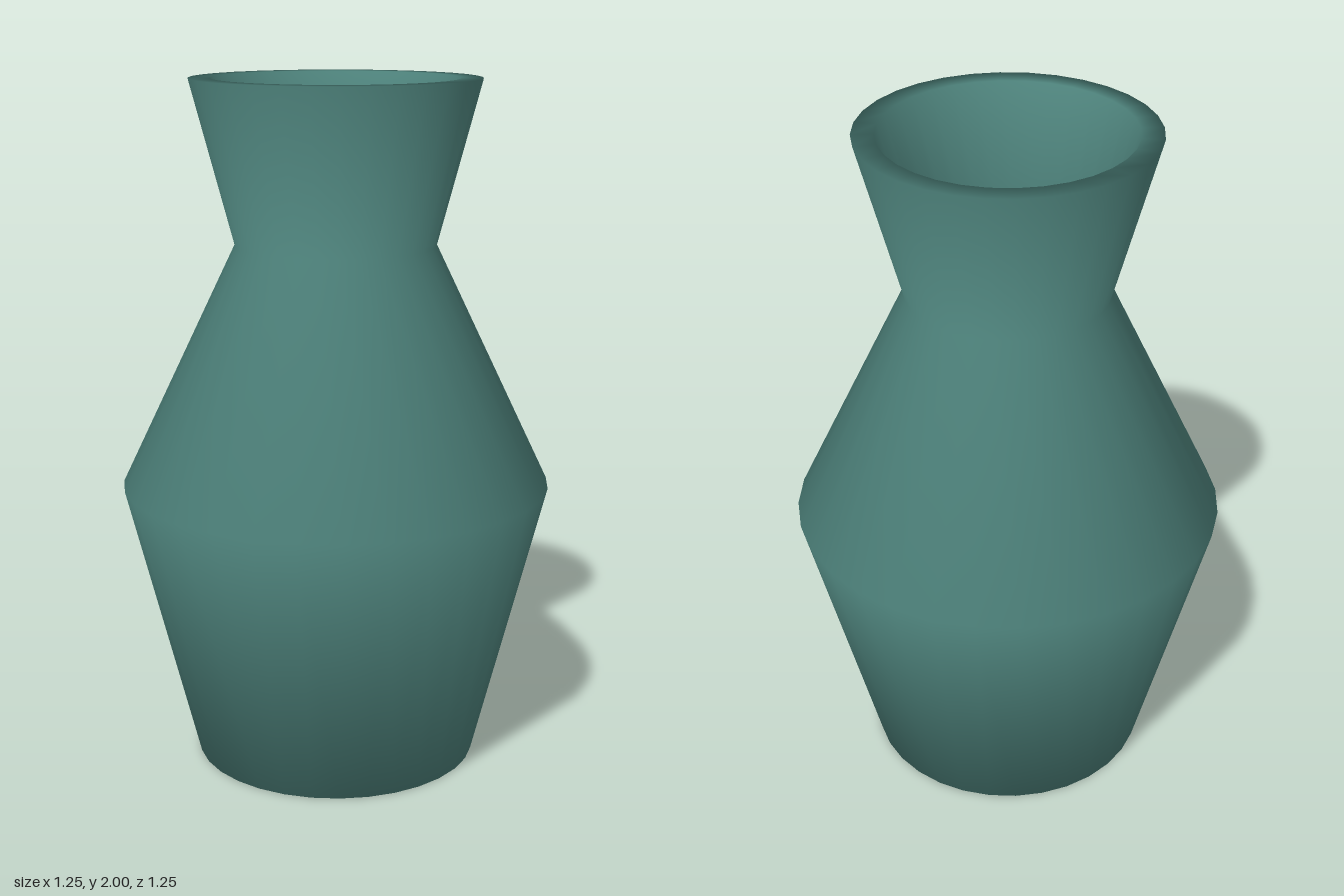
import * as THREE from 'three';

const SIDES = 32;

export function createModel() {
  const group = new THREE.Group();
  group.name = 'vase';
  const glaze = new THREE.MeshStandardMaterial({ color: 0x50867f });
  glaze.name = 'tealGlaze';

  // One closed, smoothly shaded profile of [radius, height] points
  const profile = [
    [0, 0], [0.415, 0],                            // flat underside
    [0.625, 0.83], [0.29, 1.53], [0.415, 2],       // belly, neck, flared mouth
    [0.352, 2],                                    // flat rim
    [0.23, 1.53], [0.56, 0.83], [0.368, 0.06],     // hollow inside
    [0, 0.06],                                     // floor
  ].map(([r, y]) => new THREE.Vector2(r, y));

  const body = new THREE.Mesh(new THREE.LatheGeometry(profile, SIDES), glaze);
  body.name = 'vaseBody';
  group.add(body);

  return group;
}
